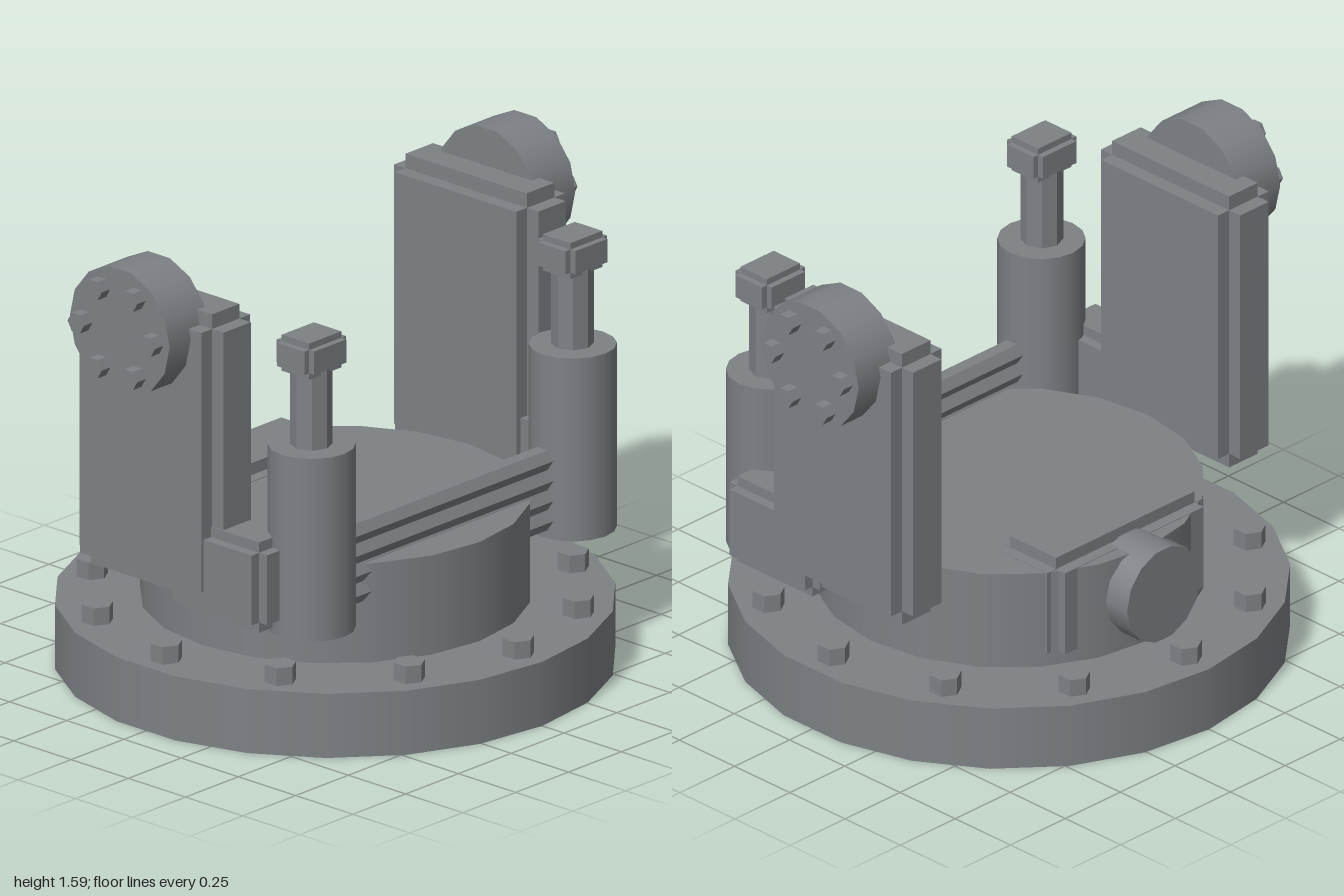
import * as THREE from 'three';

const material = new THREE.MeshStandardMaterial({ color: 0x7d8185 });

function add(parent, name, geometry, x = 0, y = 0, z = 0) {
  const mesh = new THREE.Mesh(geometry, material);
  mesh.name = name;
  mesh.position.set(x, y, z);
  parent.add(mesh);
  return mesh;
}

// Cylinder along 'x', 'y' or 'z', centred on its position
function cylinder(radius, length, sides, axis = 'y') {
  const g = new THREE.CylinderGeometry(radius, radius, length, sides);
  if (axis === 'x') g.rotateZ(Math.PI / 2);
  if (axis === 'z') g.rotateX(Math.PI / 2).rotateZ(Math.PI / 2);
  return g;
}

// Faceted prism with hard edges
function prism(radius, length, sides, axis = 'y') {
  const g = cylinder(radius, length, sides, axis).toNonIndexed();
  g.computeVertexNormals();
  return g;
}

// Box with a raised, inset panel of height d on each of its six faces
function panelledBox(parent, name, size, d, x, y, z) {
  const group = new THREE.Group();
  group.name = name;
  group.position.set(x, y, z);
  for (let axis = 0; axis < 3; axis++) {
    const s = size.slice();
    s[axis] += 2 * d;
    add(group, name + 'Panel', new THREE.BoxGeometry(...s));
  }
  parent.add(group);
}

// Bar with zigzag ridges along its front and back
function ridgedBar(length) {
  const steps = 8, bottom = 0.43, height = 0.275;
  const front = [], back = [];
  for (let i = 0; i <= steps; i++) {
    const y = bottom + height * i / steps;
    const half = i % 2 ? 0.043 : 0.022;
    front.push(new THREE.Vector2(half, y));
    back.unshift(new THREE.Vector2(-half, y));
  }
  const g = new THREE.ExtrudeGeometry(new THREE.Shape([...front, ...back]), { depth: length, bevelEnabled: false });
  return g.translate(0, 0, -length / 2).rotateY(-Math.PI / 2);
}

export function createModel() {
  const model = new THREE.Group();
  model.name = 'clampStand';

  // Flanged base and hub
  add(model, 'base', cylinder(0.905, 0.22, 22), 0, 0.11, 0);
  add(model, 'hub', cylinder(0.63, 0.36, 20), 0, 0.38, 0);
  for (let i = 0; i < 12; i++) {
    const a = i * Math.PI / 6;
    add(model, 'baseBolt', prism(0.053, 0.07, 6), 0.8 * Math.sin(a), 0.245, 0.8 * Math.cos(a));
  }

  // Rear port and its panelled housing, sunk into the hub
  panelledBox(model, 'rearHousing', [0.63, 0.296, 0.21], 0.041, 0, 0.414, -0.421);
  add(model, 'rearPort', cylinder(0.167, 0.165, 14, 'z'), 0, 0.415, -0.6175);

  // Ridged bar joining the two pistons
  add(model, 'crossBar', ridgedBar(1.1), 0, 0, 0.463);

  for (const s of [-1, 1]) {
    const side = new THREE.Group();
    side.name = s > 0 ? 'leftArm' : 'rightArm';
    model.add(side);

    // Upright plate and the bracket that holds it to the piston
    panelledBox(side, 'upright', [0.13, 0.89, 0.53], 0.05, s * 0.745, 0.965, -0.055);
    panelledBox(side, 'bracket', [0.13, 0.24, 0.34], 0.035, s * 0.75, 0.577, 0.25);

    // Pivot disc with its ring of bolts
    add(side, 'pivotDisc', cylinder(0.218, 0.185, 14, 'x'), s * 0.8675, 1.375, -0.055);
    for (let i = 0; i < 6; i++) {
      const a = i * Math.PI / 3;
      add(side, 'pivotBolt', prism(0.036, 0.05, 6, 'x'),
        s * 0.975, 1.375 + 0.155 * Math.sin(a), -0.055 + 0.155 * Math.cos(a));
    }

    // Piston: barrel, rod and head
    add(side, 'pistonBarrel', cylinder(0.142, 0.628, 16), s * 0.618, 0.716, 0.468);
    add(side, 'pistonRod', prism(0.069, 0.3, 8), s * 0.618, 1.16, 0.466);
    panelledBox(side, 'pistonHead', [0.152, 0.08, 0.12], 0.022, s * 0.618, 1.347, 0.467);
  }
  return model;
}
